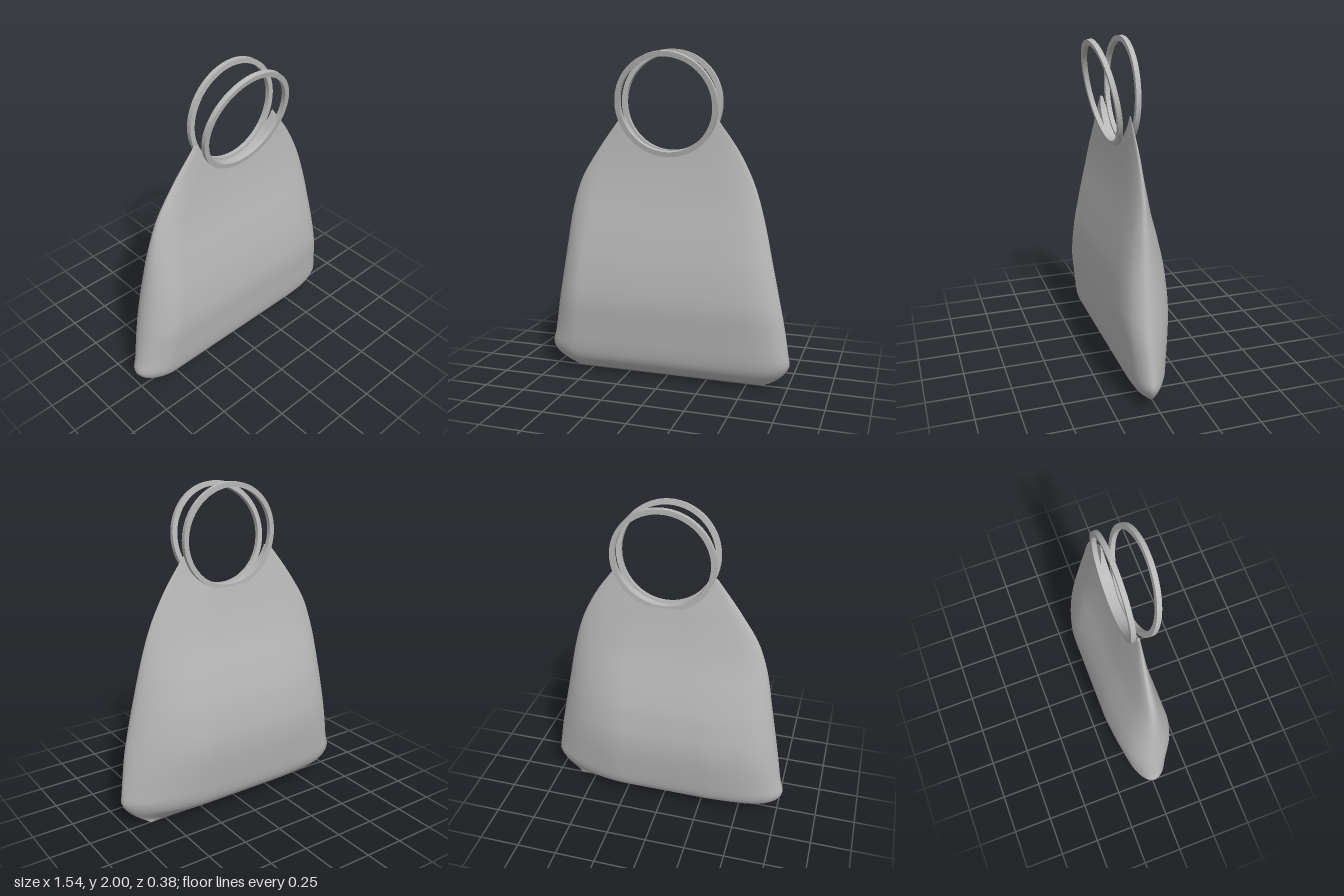
import * as THREE from 'three';

const bagGrey = new THREE.MeshStandardMaterial({ color: 0xb8b8b8, side: THREE.DoubleSide });
bagGrey.name = 'bag grey';

// smooth interpolation through [position, value] pairs (monotone-limited slopes)
function curve(pts) {
  const slope = pts.map((p, i) => {
    const a = pts[Math.max(i - 1, 0)], b = pts[Math.min(i + 1, pts.length - 1)];
    const d0 = i > 0 ? (p[1] - a[1]) / (p[0] - a[0]) : (b[1] - p[1]) / (b[0] - p[0]);
    const d1 = i < pts.length - 1 ? (b[1] - p[1]) / (b[0] - p[0]) : d0;
    return d0 * d1 <= 0 ? 0 : 2 * d0 * d1 / (d0 + d1);
  });
  return (y) => {
    y = THREE.MathUtils.clamp(y, pts[0][0], pts[pts.length - 1][0]);
    let i = 0;
    while (i < pts.length - 2 && y > pts[i + 1][0]) i++;
    const [x0, v0] = pts[i], [x1, v1] = pts[i + 1], h = x1 - x0, t = (y - x0) / h;
    return v0 * (1 + 2 * t) * (1 - t) ** 2 + slope[i] * h * t * (1 - t) ** 2
      + v1 * t * t * (3 - 2 * t) + slope[i + 1] * h * t * t * (t - 1);
  };
}

// outline and depth of the bag by height
const leftSide = curve([[0, 0.6], [0.05, 0.68], [0.11, 0.74], [0.16, 0.765], [0.22, 0.757], [0.4, 0.73],
  [0.6, 0.69], [0.8, 0.647], [1, 0.603], [1.2, 0.545], [1.4, 0.45], [1.6, 0.31]]);
const rightSide = curve([[0, 0.6], [0.05, 0.69], [0.11, 0.755], [0.15, 0.773], [0.22, 0.755], [0.4, 0.725],
  [0.6, 0.69], [0.8, 0.655], [1, 0.62], [1.2, 0.56], [1.4, 0.44], [1.6, 0.29]]);
const frontDepth = curve([[0, 0], [0.03, 0.05], [0.1, 0.112], [0.2, 0.135], [0.3, 0.147], [0.5, 0.167],
  [0.7, 0.155], [0.9, 0.125], [1.1, 0.09], [1.2, 0.075], [1.4, 0.055], [1.6, 0.045]]);
const backDepth = curve([[0, 0], [0.03, -0.055], [0.1, -0.132], [0.2, -0.157], [0.5, -0.19],
  [0.7, -0.172], [0.9, -0.128], [1.1, -0.073], [1.3, -0.033], [1.4, -0.017], [1.6, 0.02]]);

// cross-section seen from above: x fraction, and depth fraction from back (0) to front (1)
const section = new THREE.CatmullRomCurve3([
  [-0.78, 1], [-0.4, 1], [0, 1], [0.4, 1], [0.78, 0.98], [0.92, 0.9], [1, 0.7],
  [0.8, 0.27], [0.43, 0.01], [0, 0], [-0.42, 0], [-0.82, 0.13], [-0.98, 0.36], [-1, 0.62], [-0.92, 0.86],
].map(([s, g]) => new THREE.Vector3(s, g, 0)), true).getPoints(90).slice(0, -1);

const RING = { x: 0.02, y: 1.69, outer: 0.31, inner: 0.28, depth: 0.028 };

// top edge of the bag, hugging the rings
function mouth(x) {
  const dx = x - RING.x, r = 0.295;
  return Math.min(1.6, RING.y - Math.sqrt(Math.max(0, r * r - dx * dx)));
}

function makeBag() {
  const heights = [0, 0.015, 0.03, 0.05, 0.075, 0.1, 0.13, 0.16, 0.19, 0.23, 0.28, 0.34];
  for (let y = 0.4; y < 1.601; y += 0.05) heights.push(Math.min(y, 1.6));
  const n = section.length, pos = [], idx = [];
  const addRow = (y, flat) => section.forEach(({ x: s, y: g }) => {
    const x = s < 0 ? s * rightSide(y) : s * leftSide(y);
    const t = Math.max(0, (y - 0.9) / 0.7) ** 1.5;
    const xTop = s < 0 ? s * 0.29 : s * 0.31;
    const yy = y - t * (1.6 - mouth(xTop));
    const k = flat ? 0.5 : THREE.MathUtils.clamp(g, 0, 1);
    pos.push(x, yy, THREE.MathUtils.lerp(backDepth(yy), frontDepth(yy), k));
  });
  const join = (a, b) => {
    for (let i = 0; i < n; i++) {
      const k = (i + 1) % n;
      idx.push(a + i, a + k, b + k, a + i, b + k, b + i);
    }
  };
  heights.forEach((y, j) => {
    addRow(y, false);
    if (j) join((j - 1) * n, j * n);
  });
  // separate rows close the mouth with a sharp rim
  const rim = heights.length * n;
  addRow(1.6, false);
  addRow(1.6, true);
  join(rim, rim + n);
  const geo = new THREE.BufferGeometry();
  geo.setAttribute('position', new THREE.Float32BufferAttribute(pos, 3));
  geo.setIndex(idx);
  geo.computeVertexNormals();
  return geo;
}

// flat hoop with a rectangular section
function makeHoop() {
  const shape = new THREE.Shape().absarc(0, 0, RING.outer, 0, Math.PI * 2, false);
  shape.holes.push(new THREE.Path().absarc(0, 0, RING.inner, 0, Math.PI * 2, true));
  const geo = new THREE.ExtrudeGeometry(shape, { depth: RING.depth, bevelEnabled: false, curveSegments: 64 });
  return geo.translate(0, 0, -RING.depth / 2);
}

export function createModel() {
  const group = new THREE.Group();
  group.name = 'handbag';
  const add = (name, geo) => {
    const mesh = new THREE.Mesh(geo, bagGrey);
    mesh.name = name;
    group.add(mesh);
    return mesh;
  };
  add('bagBody', makeBag());

  const hoop = makeHoop();
  add('backHandle', hoop).position.set(RING.x, RING.y, -0.003);
  // front handle leans forward
  const front = add('frontHandle', hoop);
  front.position.set(RING.x, 1.68, 0.118);
  front.rotation.x = 0.2;
  return group;
}
